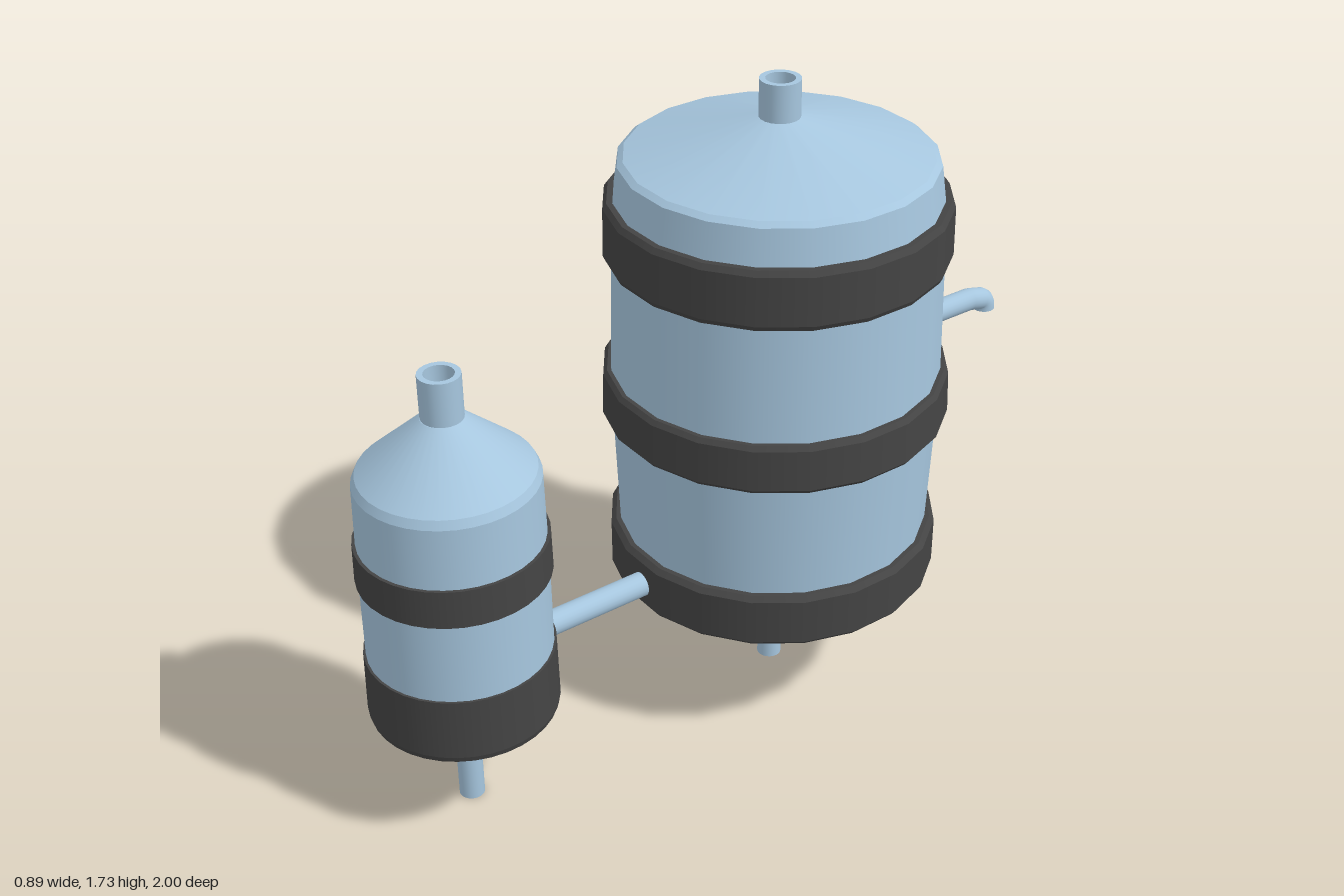
import * as THREE from 'three';
import { mergeGeometries } from 'three/addons/utils/BufferGeometryUtils.js';

// Turned solid: smooth around the axis, crisp edges along the profile [radius, y]
function turned(profile, sides) {
  const strips = [];
  for (let i = 0; i < profile.length - 1; i++) {
    const pair = [profile[i], profile[i + 1]].map(([r, y]) => new THREE.Vector2(r, y));
    strips.push(new THREE.LatheGeometry(pair, sides, Math.PI / sides));
  }
  return mergeGeometries(strips);
}

export function createModel() {
  const blue = new THREE.MeshStandardMaterial({ color: 0xa6c6de });
  blue.name = 'paleBlue';
  const dark = new THREE.MeshStandardMaterial({ color: 0x444444 });
  dark.name = 'darkGrey';
  const model = new THREE.Group();
  model.name = 'twinTanks';

  function add(parent, name, geometry, material) {
    const mesh = new THREE.Mesh(geometry, material);
    mesh.name = name;
    parent.add(mesh);
    return mesh;
  }

  // One tank: body, open neck, bands and a standing pipe
  function tank(name, z, sides, body, bands, neckBottom, neckTop) {
    const group = new THREE.Group();
    group.name = name;
    group.position.z = z;
    model.add(group);
    add(group, 'body', turned(body, sides), blue);
    add(group, 'neck', turned([
      [0.052, neckBottom], [0.052, neckTop], [0.037, neckTop], [0.037, neckBottom],
    ], 20), blue);
    for (const [bandName, profile] of Object.entries(bands)) {
      add(group, bandName, turned(profile, sides), dark);
    }
    const leg = add(group, 'standPipe', new THREE.CylinderGeometry(0.033, 0.033, 0.3, 20), blue);
    leg.position.y = 0.15;
  }

  tank('largeTank', -0.223, 20,
    [[0.41, 0.45], [0.425, 0.83], [0.427, 0.96], [0.42, 1.28], [0.413, 1.43],
      [0.4, 1.525], [0.385, 1.537], [0.05, 1.633], [0, 1.633]],
    {
      base: [[0, 0.28], [0.31, 0.28], [0.43, 0.355], [0.438, 0.365], [0.438, 0.49], [0.425, 0.503], [0.4, 0.503]],
      middleBand: [[0.41, 0.828], [0.442, 0.828], [0.452, 0.84], [0.448, 0.95], [0.438, 0.962], [0.41, 0.962]],
      topBand: [[0.4, 1.277], [0.434, 1.277], [0.44, 1.29], [0.438, 1.418], [0.428, 1.432], [0.4, 1.432]],
    }, 1.62, 1.73);

  tank('smallTank', 0.755, 36,
    [[0.232, 0.45], [0.23, 0.75], [0.225, 0.975], [0.215, 0.997], [0.053, 1.14], [0, 1.14]],
    {
      base: [[0, 0.28], [0.205, 0.28], [0.237, 0.305], [0.241, 0.32], [0.238, 0.487], [0.22, 0.487]],
      middleBand: [[0.22, 0.71], [0.239, 0.71], [0.237, 0.812], [0.22, 0.812]],
    }, 1.13, 1.255);

  // Pipe joining the two tanks
  const link = add(model, 'linkPipe', new THREE.CylinderGeometry(0.033, 0.033, 0.46, 20), blue);
  link.rotation.x = Math.PI / 2;
  link.position.set(0, 0.422, 0.36);

  // Outlet tap with a short drooping spout
  const path = new THREE.CurvePath();
  const points = [[0.907, -0.55], [0.907, -0.91], [0.896, -0.953]].map(([y, z]) => new THREE.Vector3(0, y, z));
  path.add(new THREE.LineCurve3(points[0], points[1]));
  path.add(new THREE.LineCurve3(points[1], points[2]));
  path.add(new THREE.QuadraticBezierCurve3(points[2],
    new THREE.Vector3(0, 0.891, -0.969), new THREE.Vector3(0, 0.864, -0.969)));
  add(model, 'outletPipe', new THREE.TubeGeometry(path, 48, 0.031, 20), blue);
  const end = add(model, 'spoutEnd', new THREE.CircleGeometry(0.031, 20), blue);
  end.rotation.x = Math.PI / 2;
  end.position.set(0, 0.864, -0.969);

  return model;
}
